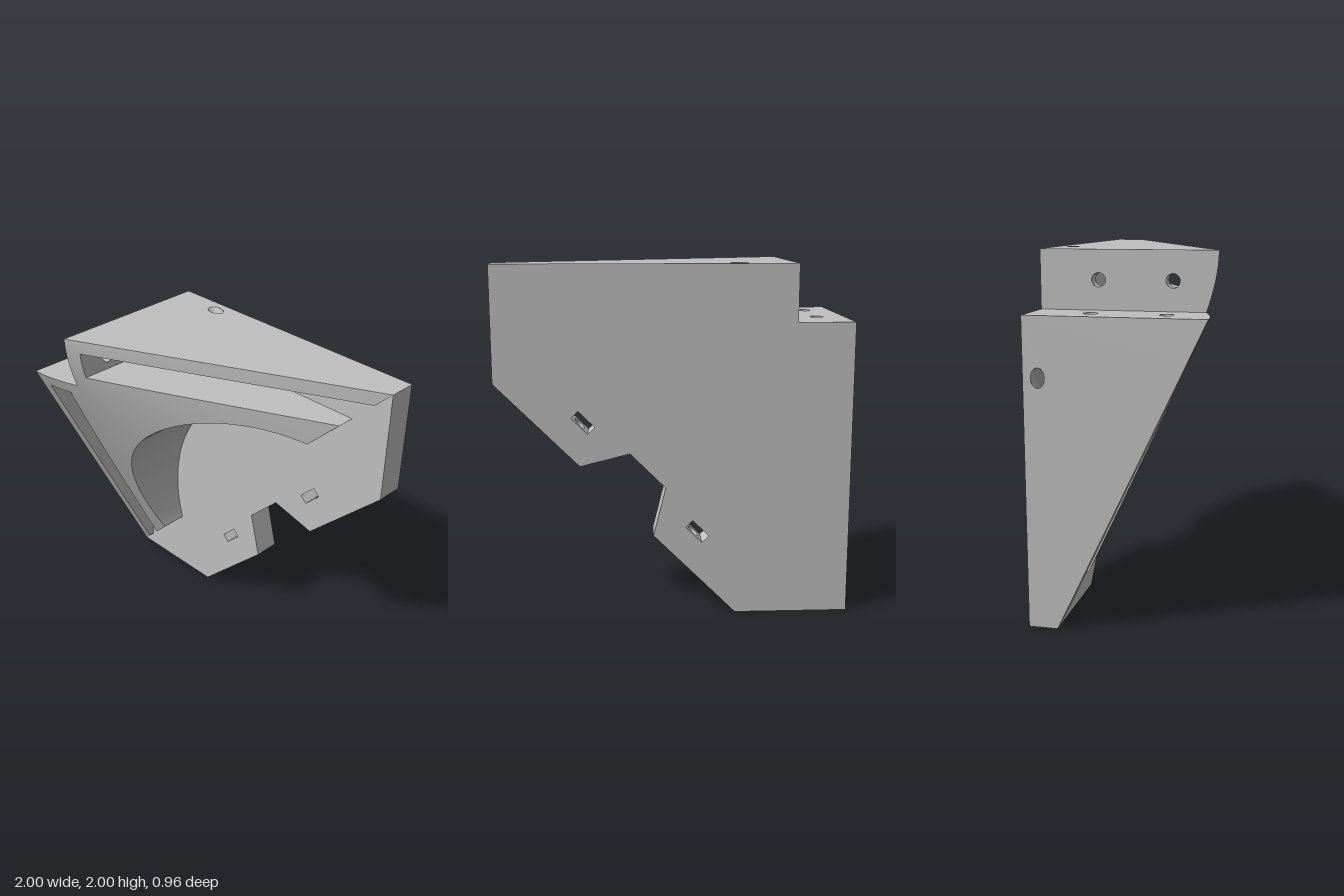
import * as THREE from 'three';
import { mergeGeometries } from 'three/addons/utils/BufferGeometryUtils.js';

const BACK = -0.48, FLOOR = -0.32, BORE = 0.0375;
const V = (x, y, z) => new THREE.Vector3(x, y, z);

// The sloped front is a cone with its apex axis at the outer corner (-1, 2)
const cone = (x, y) => 0.632 - 0.476 * Math.hypot(x + 1, 2 - y);
const flat = () => FLOOR;

const line = (p, q, n) => Array.from({ length: n + 1 }, (_, i) =>
  [p[0] + (q[0] - p[0]) * i / n, p[1] + (q[1] - p[1]) * i / n]);

// Arc of the round cut-out, angles in degrees
const arc = (from, to, n) => Array.from({ length: n + 1 }, (_, i) => {
  const t = THREE.MathUtils.degToRad(from + (to - from) * i / n);
  return [0.32 + 0.9617 * Math.cos(t), 0.68 + 0.9617 * Math.sin(t)];
});

// Ribbon of quads between two rows of points
function strip(rowA, rowB) {
  const n = rowA.length, index = [];
  for (let i = 0; i < n - 1; i++) index.push(i, i + 1, n + i + 1, i, n + i + 1, n + i);
  const g = new THREE.BufferGeometry().setFromPoints([...rowA, ...rowB]);
  g.setIndex(index);
  g.computeVertexNormals();
  return g;
}

function flipped(geometry) {
  const g = geometry.clone();
  g.index.array.reverse();
  g.computeVertexNormals();
  return g;
}

// Reflection across the diagonal x + y = 1
function mirrored(geometry) {
  const m = new THREE.Matrix4().set(0, -1, 0, 1, -1, 0, 0, 1, 0, 0, 1, 0, 0, 0, 0, 1);
  return flipped(geometry.clone().applyMatrix4(m));
}

// Upright flat wall from p to q (solid on the left); holes are [u, z, ru, rz]
function wall(p, q, z0, top, holes = []) {
  const dx = q[0] - p[0], dy = q[1] - p[1], len = Math.hypot(dx, dy);
  const upper = line(q, p, top === cone ? 24 : 1).map(([x, y]) =>
    new THREE.Vector2(Math.hypot(x - p[0], y - p[1]), top(x, y)));
  const shape = new THREE.Shape([new THREE.Vector2(0, z0), new THREE.Vector2(len, z0), ...upper]);
  for (const [u, z, ru, rz] of holes) {
    shape.holes.push(new THREE.Path().absellipse(u, z, ru, rz, 0, Math.PI * 2, true));
  }
  const g = new THREE.ShapeGeometry(shape, 24);
  g.deleteAttribute('uv');
  const X = V(dx / len, dy / len, 0), Y = V(0, 0, 1);
  const m = new THREE.Matrix4().makeBasis(X, Y, X.clone().cross(Y));
  return g.applyMatrix4(m.setPosition(p[0], p[1], 0));
}

// Inside of a drilled hole; slant cuts its start at 45 degrees
function bore(p, q, z, slant = 0) {
  const d = V(q[0] - p[0], q[1] - p[1], 0).normalize(), n = V(-d.y, d.x, 0);
  const ring = (c, s) => Array.from({ length: 25 }, (_, i) => {
    const t = i / 24 * Math.PI * 2, k = BORE * Math.cos(t);
    return V(c[0], c[1], z + BORE * Math.sin(t)).addScaledVector(n, k).addScaledVector(d, k * s);
  });
  return strip(ring(q, 0), ring(p, slant));
}

// Cone surface between an outer row of points and an inner radius rule
function fan(outer, inner) {
  const near = outer.map(([x, y]) => {
    const t = Math.atan2(2 - y, x + 1), r = inner(Math.cos(t), Math.sin(t));
    const ix = -1 + r * Math.cos(t), iy = 2 - r * Math.sin(t);
    return V(ix, iy, cone(ix, iy));
  });
  return strip(near, outer.map(([x, y]) => V(x, y, cone(x, y))));
}

export function createModel() {
  const group = new THREE.Group();
  const grey = new THREE.MeshStandardMaterial({ color: 0xbfbfbf });
  grey.name = 'grey';
  const add = (name, halves, wholes = []) => {
    const mesh = new THREE.Mesh(mergeGeometries([...halves, ...halves.map(mirrored), ...wholes]), grey);
    mesh.name = name;
    group.add(mesh);
  };

  // Nut slot corners, clockwise, and its drilled bore points
  const c = [0.51, 1.13], s = Math.SQRT1_2, L = 0.065, W = 0.028;
  const at = (l, w) => [c[0] + s * (l + w), c[1] + s * (l - w)];
  const slot = [at(-L, W), at(-L, -W), at(L, -W), at(L, W)];
  const entry = [-0.36, 2], exit = [0.645, 0.995];

  // Back plate faces
  const outline = [[-1, 0], [-0.35, 0], [0.12, 0.47], [0.05, 0.75], [0.25, 0.95], [0.53, 0.88],
    [1, 1.35], [1, 2], [-0.68, 2], [-0.68, 1.68], [-1, 1.68]];
  const vec = (pts) => pts.map(([x, y]) => new THREE.Vector2(x, y));
  const shape = new THREE.Shape(vec(outline));
  shape.holes.push(new THREE.Path(vec(slot)),
    new THREE.Path(vec(slot.map(([x, y]) => [1 - y, 1 - x]))));
  const face = new THREE.ShapeGeometry(shape);
  face.deleteAttribute('uv');
  const front = face.clone().translate(0, 0, FLOOR);
  const back = flipped(face).translate(0, 0, BACK);

  // Back plate edges
  add('backPlate', [
    wall([0.15, 0.85], [0.25, 0.95], BACK, flat),
    wall([0.25, 0.95], [0.53, 0.88], BACK, flat),
    wall([0.53, 0.88], [1, 1.35], BACK, flat, [[0.163, -0.4, BORE, BORE]]),
    wall([1, 1.35], [1, 2], BACK, flat),
  ], [front, back]);

  // Nut slots and the diagonal screw bores
  add('nutSlots', slot.map((p, i) => wall(p, slot[(i + 1) % 4], BACK, flat,
    i % 2 ? [[L, -0.4, BORE, BORE]] : [])));
  add('screwBores', [bore(entry, at(0, -W), -0.4, 1), bore(at(0, W), exit, -0.4)]);

  // Outer side walls with mounting holes beside the corner notch
  const zs = [0.24, -0.16];
  add('sideWalls', [
    wall([1, 2], [-0.68, 2], BACK, cone, [[1.36, -0.4, BORE * Math.SQRT2, BORE]]),
    wall([-0.68, 2], [-0.68, 1.68], BACK, cone, zs.map((z) => [0.16, z, BORE, BORE])),
    wall([-0.6, 1.92], [0.92, 1.92], FLOOR, cone),
    wall([0.92, 1.92], [1, 2], FLOOR, cone),
    wall([-0.6, 1.76], [-0.6, 1.92], FLOOR, cone, zs.map((z) => [0.08, z, BORE, BORE])),
    fan([[1, 2], ...line([0.92, 1.92], [-0.6, 1.92], 48), ...line([-0.6, 1.92], [-0.6, 1.6], 16).slice(1)],
      (cos) => 0.32 / cos),
  ]);
  add('mountingHoles', zs.map((z) => bore([-0.68, 1.84], [-0.6, 1.84], z)));

  // Corner web with the round cut-out
  const end = THREE.MathUtils.radToDeg(Math.atan2(0.92, 0.28));
  const curve = arc(180 + 90 - end, end, 96);
  add('cornerWeb', [
    wall([0.76, 1.76], [-0.6, 1.76], FLOOR, cone),
    wall([0.6, 1.6], [0.76, 1.76], FLOOR, cone),
    fan([...line([0.76, 1.76], [0.6, 1.6], 6).slice(0, -1), ...arc(end, 135, 72)],
      (cos, sin) => Math.max(0.24 / sin, 0.4 / cos)),
  ], [strip(curve.map(([x, y]) => V(x, y, FLOOR)), curve.map(([x, y]) => V(x, y, cone(x, y))))]);

  return group;
}
